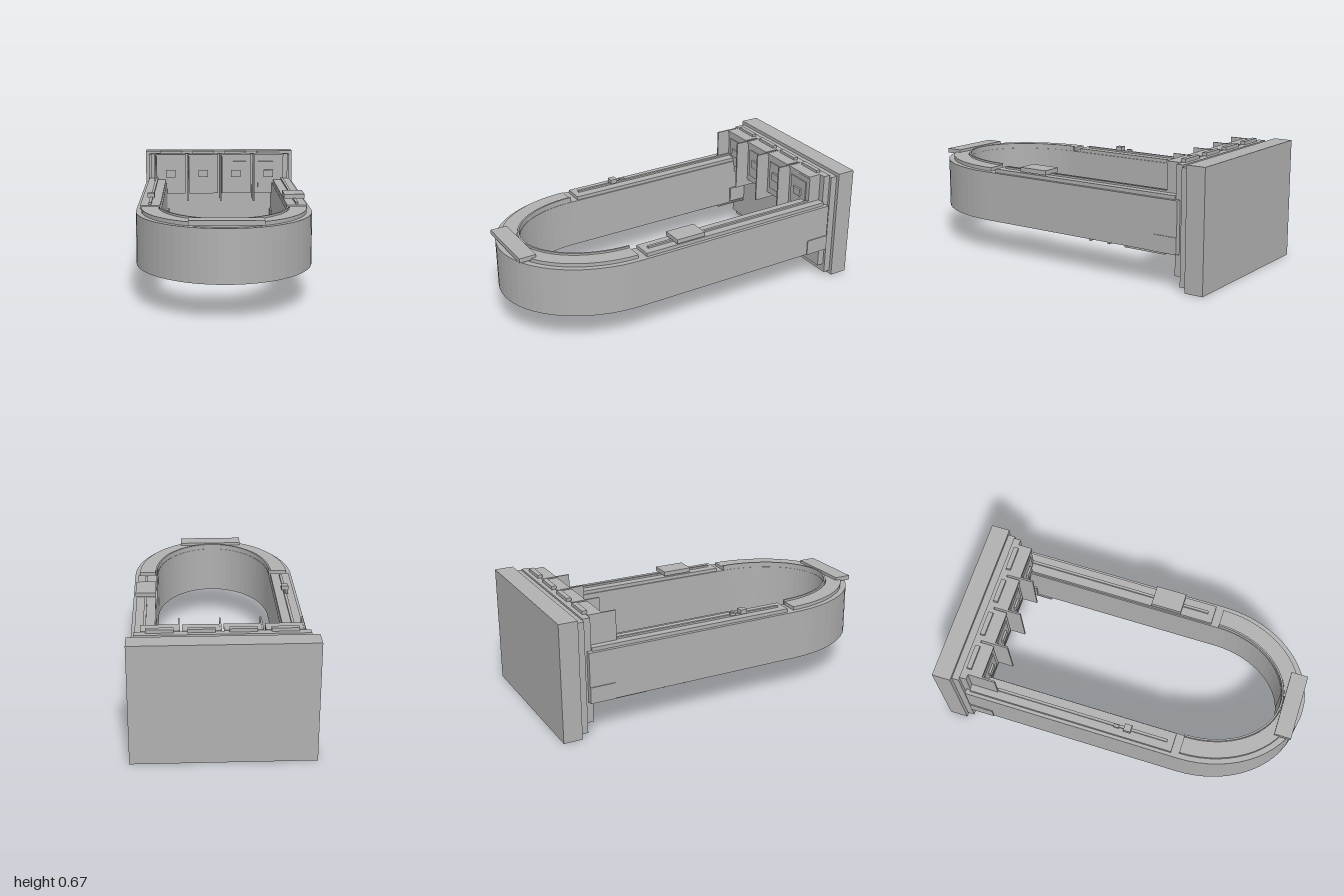
import * as THREE from 'three';

const grey = new THREE.MeshStandardMaterial({ color: 0xb0b0b0 });
grey.name = 'plain grey';

export function createModel() {
  const model = new THREE.Group();
  model.name = 'balconyFrame';

  const add = (name, geometry) => {
    const mesh = new THREE.Mesh(geometry, grey);
    mesh.name = name;
    model.add(mesh);
    return mesh;
  };

  // Box given by its limits on each axis
  const box = (name, x0, x1, y0, y1, z0, z1) =>
    add(name, new THREE.BoxGeometry(x1 - x0, y1 - y0, z1 - z0)
      .translate((x0 + x1) / 2, (y0 + y1) / 2, (z0 + z1) / 2));

  // The same box on both sides of x = 0
  const pair = (name, x0, x1, ...rest) => {
    box(name + 'Left', x0, x1, ...rest);
    box(name + 'Right', -x1, -x0, ...rest);
  };

  // U-shaped band: half ellipses at the front, straight arms back to zBack
  const SEG = 32, ZC = 0.41;
  const band = (name, outer, inner, y0, y1, zBack) => {
    const arc = ([rx, rz]) => Array.from({ length: SEG + 1 }, (_, i) => {
      const a = (i / SEG) * Math.PI;
      return new THREE.Vector2(rx * Math.cos(a), ZC + rz * Math.sin(a));
    });
    const arms = ([rx]) => zBack < ZC
      ? [new THREE.Vector2(rx, zBack), new THREE.Vector2(-rx, zBack)] : [];
    const [oStart, oEnd] = arms(outer);
    const [iStart, iEnd] = arms(inner);
    const points = [oStart, ...arc(outer), oEnd, iEnd, ...arc(inner).reverse(), iStart]
      .filter(Boolean);
    const geometry = new THREE.ExtrudeGeometry(new THREE.Shape(points),
      { depth: y1 - y0, bevelEnabled: false });
    geometry.rotateX(Math.PI / 2).translate(0, y1, 0);
    add(name, geometry);
  };

  // Stepped back wall
  box('backPlate', -0.48, 0.48, 0, 0.66, -1, -0.895);
  box('middlePlate', -0.46, 0.46, 0.02, 0.64, -0.895, -0.855);
  box('innerPlate', -0.445, 0.445, 0.07, 0.65, -0.855, -0.815);

  // Main U-shaped body with the curved rails on its nose
  band('body', [0.474, 0.588], [0.338, 0.455], 0.19, 0.47, -0.84);
  band('noseRail', [0.445, 0.555], [0.352, 0.47], 0.47, 0.49, ZC);
  band('noseLip', [0.35, 0.467], [0.34, 0.457], 0.47, 0.5, ZC);
  box('nosePlate', -0.19, 0.19, 0.48, 0.506, 0.88, 0.975);

  // Straight rails on the arms
  pair('armRail', 0.345, 0.455, 0.47, 0.49, -0.815, 0.365);
  pair('armStrip', 0.395, 0.41, 0.49, 0.5, -0.815, 0.33);

  // Fittings on top of the arms
  box('railBox', 0.345, 0.46, 0.497, 0.522, 0.005, 0.18);
  box('railClip', -0.425, -0.385, 0.497, 0.522, 0.08, 0.12);
  box('railClipSmall', -0.417, -0.4, 0.495, 0.51, 0.02, 0.05);

  // Four bays, each with a fin on one side
  for (let i = 0; i < 4; i++) {
    const x = -0.315 + i * 0.21;
    box('bayPanel', x - 0.09, x + 0.095, 0.4, 0.64, -0.815, -0.74);
    box('bayCap', x - 0.095, x + 0.097, 0.64, 0.653, -0.815, -0.735);
    box('bayInset', x - 0.067, x + 0.067, 0.44, 0.608, -0.74, -0.734);
    box('bayKnob', x - 0.03, x + 0.03, 0.507, 0.553, -0.734, -0.722);
    box('bayTab', x - 0.07, x + 0.07, 0.65, 0.668, -0.832, -0.805);
    box('bayFin', x - 0.102, x - 0.093, 0.36, 0.655, -0.815, -0.66);
  }

  // Plates at the arm roots
  pair('outerRootPlate', 0.47, 0.479, 0.19, 0.28, -0.84, -0.7);
  pair('innerRootPlate', 0.328, 0.34, 0.2, 0.29, -0.815, -0.71);
  pair('rootFoot', 0.33, 0.45, 0.182, 0.19, -0.84, -0.62);

  // Brackets and ribs under the arms
  pair('underBracket', 0.37, 0.44, 0.17, 0.19, -0.75, -0.52);
  for (const z of [-0.28, -0.4, -0.51]) {
    pair('underRib', 0.37, 0.44, 0.17, 0.19, z - 0.006, z + 0.006);
  }

  return model;
}
